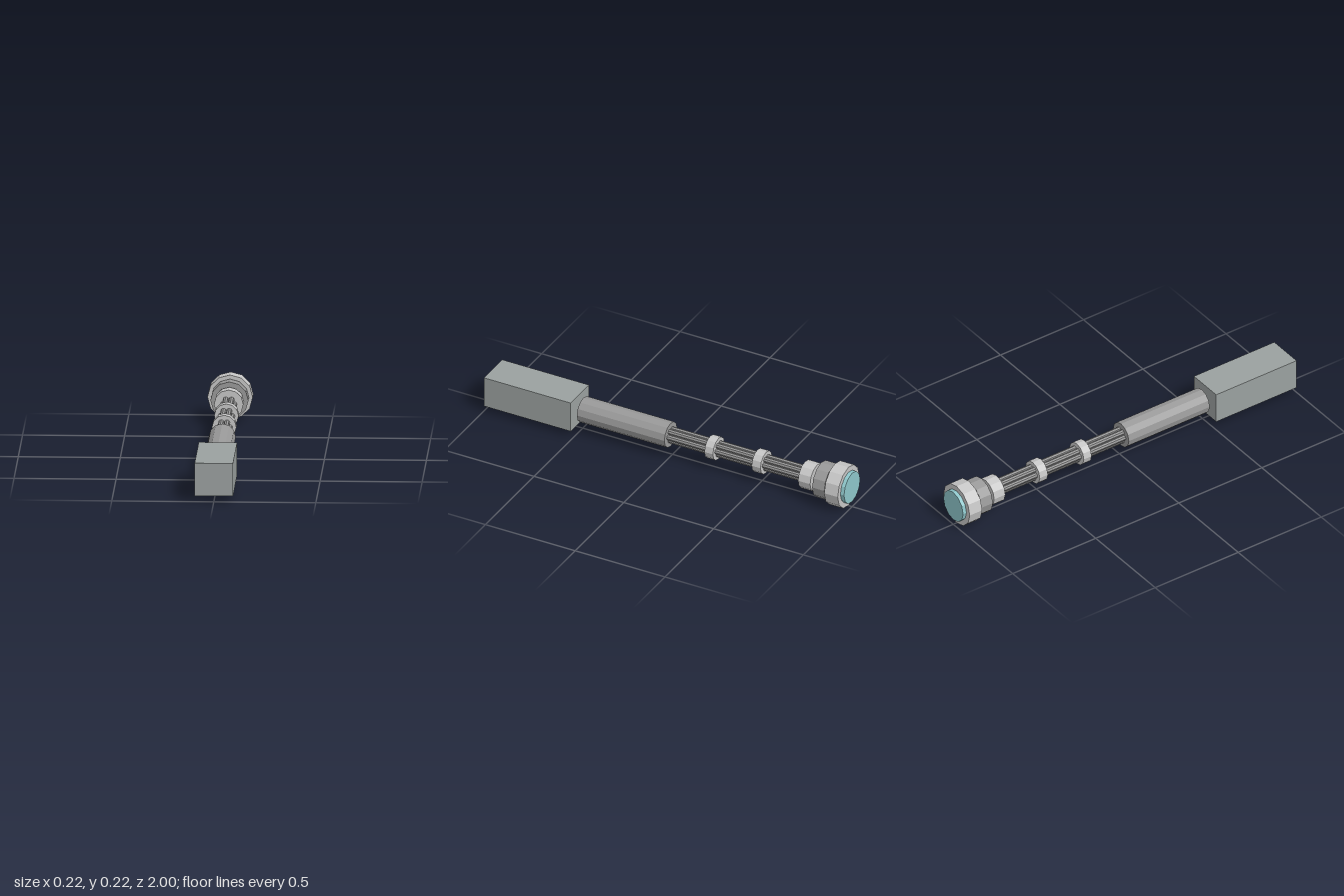
import * as THREE from 'three';

const mat = (name, color) => {
  const m = new THREE.MeshStandardMaterial({ color, flatShading: true });
  m.name = name;
  return m;
};

export function createModel() {
  const housingGrey = mat('housingGrey', 0x9aa09f);
  const steel = mat('steel', 0x999999);
  const paleSteel = mat('paleSteel', 0xc6c6c6);
  const lensTeal = mat('lensTeal', 0x8ec6ca);
  const axisY = 0.113;
  const model = new THREE.Group();
  model.name = 'multiBarrelTool';

  const add = (name, geometry, material, x, y, z) => {
    const mesh = new THREE.Mesh(geometry, material);
    mesh.name = name;
    mesh.position.set(x, y, z);
    model.add(mesh);
  };

  // Cylinder along z between two depths, with a corner pointing up
  const rod = (name, r, z0, z1, material, x = 0, y = 0, sides = 12) => {
    const g = new THREE.CylinderGeometry(r, r, Math.abs(z1 - z0), sides).rotateX(Math.PI / 2);
    add(name, g, material, x, axisY + y, (z0 + z1) / 2);
  };

  // Rear housing and motor sleeve
  add('rearHousing', new THREE.BoxGeometry(0.188, 0.164, 0.484), housingGrey, 0, axisY, 0.758);
  rod('motorSleeve', 0.066, 0.01, 0.497, steel);

  // Ring of slim barrels
  for (let i = 0; i < 6; i++) {
    const a = (i / 6) * Math.PI * 2;
    rod(`barrel${i + 1}`, 0.014, 0.02, -0.745, steel, Math.cos(a) * 0.028, Math.sin(a) * 0.028, 8);
  }

  // Clamps around the barrels
  rod('rearClamp', 0.06, -0.21, -0.257, paleSteel);
  rod('frontClamp', 0.06, -0.473, -0.522, paleSteel);

  // Stepped head and lens
  rod('headCollar', 0.072, -0.738, -0.805, paleSteel);
  rod('headMiddleRing', 0.093, -0.828, -0.895, steel);
  rod('headOuterRing', 0.111, -0.905, -0.98, paleSteel);
  rod('lens', 0.083, -0.97, -1, lensTeal);
  return model;
}
